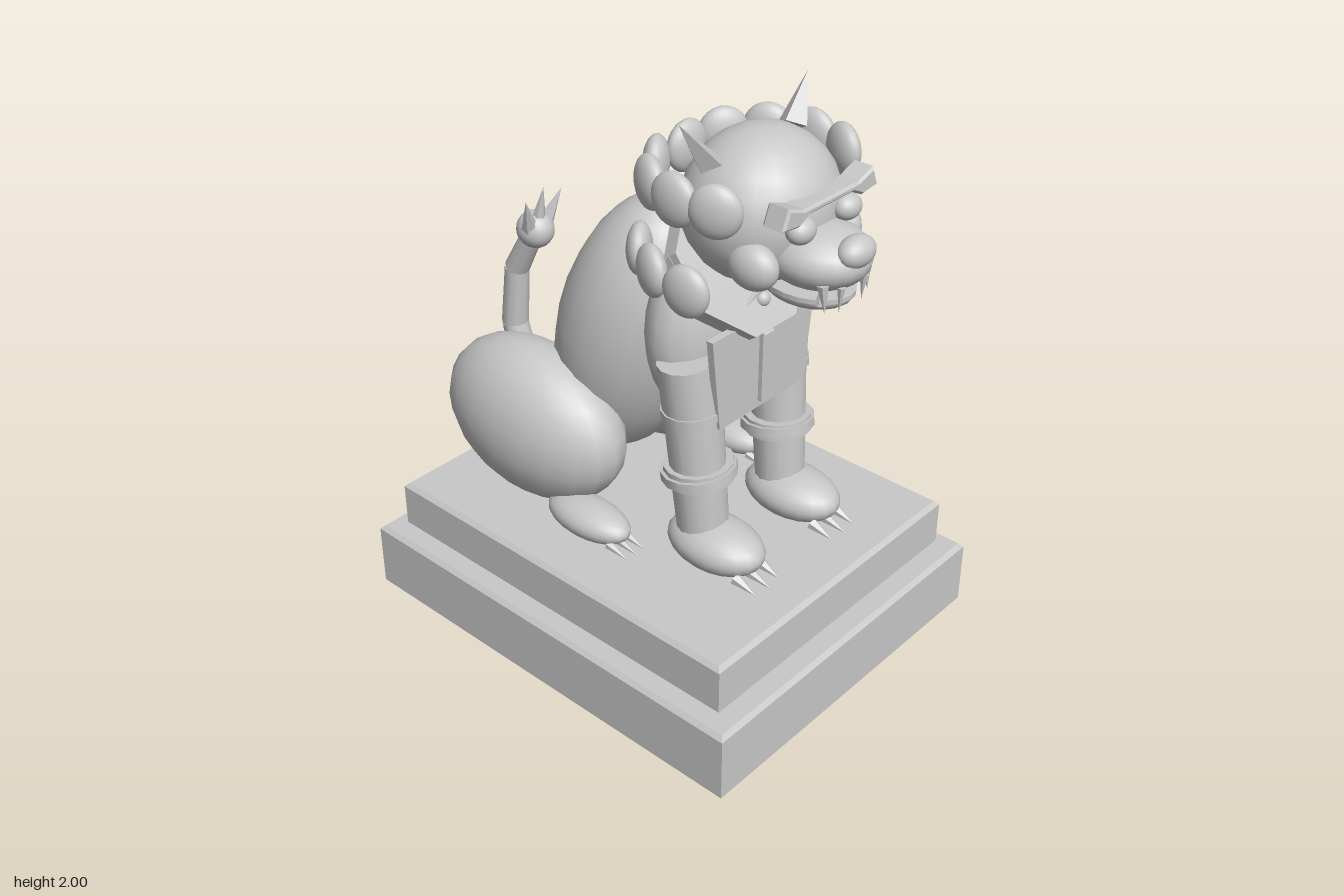
import * as THREE from 'three';

const stone = new THREE.MeshStandardMaterial({ color: 0xc8c8c8 });
stone.name = 'stone';

export function createModel() {
  const root = new THREE.Group();
  root.name = 'guardianBeastStatue';

  const add = (name, geometry, x = 0, y = 0, z = 0) => {
    const mesh = new THREE.Mesh(geometry, stone);
    mesh.name = name;
    mesh.position.set(x, y, z);
    root.add(mesh);
    return mesh;
  };
  // Ellipsoid from centre and radii, optionally pitched or turned
  const blob = (name, [x, y, z], [rx, ry, rz], pitch = 0, yaw = 0) => {
    const mesh = add(name, new THREE.SphereGeometry(1, 20, 14), x, y, z);
    mesh.scale.set(rx, ry, rz);
    mesh.rotation.set(pitch, yaw, 0);
    return mesh;
  };
  // Tapered cylinder between two points
  const rod = (name, from, to, r0, r1, sides = 14) => {
    const a = new THREE.Vector3(...from), b = new THREE.Vector3(...to);
    const dir = b.clone().sub(a);
    const geometry = r1 === 0
      ? new THREE.ConeGeometry(r0, dir.length(), sides).toNonIndexed()
      : new THREE.CylinderGeometry(r1, r0, dir.length(), sides);
    if (r1 === 0) geometry.computeVertexNormals();
    const mesh = add(name, geometry, ...a.add(b).multiplyScalar(0.5).toArray());
    mesh.quaternion.setFromUnitVectors(new THREE.Vector3(0, 1, 0), dir.normalize());
    return mesh;
  };
  // Flat outline extruded forward from z
  const plate = (name, points, z, depth, bevel = 0) => {
    const shape = new THREE.Shape(points.map(([x, y]) => new THREE.Vector2(x, y)));
    return add(name, new THREE.ExtrudeGeometry(shape, {
      depth, bevelEnabled: bevel > 0, bevelSize: bevel, bevelThickness: bevel,
      bevelOffset: -bevel, bevelSegments: 1,
    }), 0, 0, z);
  };

  // Stepped plinth with chamfered edges
  const slab = (name, w, d, y0, y1) => {
    const b = 0.015, x = w / 2, z = d / 2;
    const mesh = plate(name, [[-x, -z], [x, -z], [x, z], [-x, z]], 0, y1 - y0 - 2 * b, b);
    mesh.rotation.x = -Math.PI / 2;
    mesh.position.y = y0 + b;
  };
  slab('lowerPlinth', 1.32, 1.62, 0, 0.26);
  slab('upperPlinth', 1.18, 1.47, 0.26, 0.445);

  // Body
  blob('torso', [0, 1.08, -0.14], [0.285, 0.527, 0.268], 0.285);
  blob('chest', [0, 1.23, 0.2], [0.29, 0.34, 0.165]);

  // Breastplate with centre ridge
  plate('breastplate', [[-0.21, 0.98], [0.21, 0.98], [0.25, 1.31], [-0.25, 1.31]], 0.375, 0.025);
  plate('breastplateRidge', [[-0.025, 1.005], [0.025, 1.005], [0.025, 1.255], [-0.025, 1.255]], 0.395, 0.02, 0.005);

  // Tilted octagonal collar in two layers
  for (const [s, r] of [[-0.022, 0.25], [0.022, 0.26]]) {
    const disc = new THREE.CylinderGeometry(r, r, 0.032, 8, 1, false, Math.PI / 8).toNonIndexed();
    disc.computeVertexNormals();
    add('collar', disc, 0, 1.455 + 0.6 * s, 0.27 + 0.8 * s).rotation.x = Math.atan2(0.8, 0.6);
  }
  blob('collarBell', [0, 1.36, 0.385], [0.027, 0.027, 0.027]);
  plate('collarBellHood', [[-0.08, 1.365], [0, 1.388], [0.08, 1.365], [0, 1.405]], 0.35, 0.04);

  // Head, muzzle and jaw
  blob('head', [0, 1.685, 0.37], [0.26, 0.245, 0.24]);
  blob('muzzle', [0, 1.59, 0.59], [0.155, 0.1, 0.17]);
  blob('nose', [0, 1.638, 0.725], [0.072, 0.05, 0.05]);
  const jaw = add('lowerJaw', new THREE.SphereGeometry(1, 20, 8, 0, Math.PI * 2, Math.PI / 2, Math.PI / 2), 0, 1.48, 0.56);
  jaw.scale.set(0.12, 0.06, 0.155);
  const jawTop = add('mouthFloor', new THREE.CylinderGeometry(1, 1, 0.015, 20), 0, 1.482, 0.56);
  jawTop.scale.set(0.12, 1, 0.155);
  plate('brow', [
    [-0.2, 1.81], [-0.225, 1.745], [-0.15, 1.735], [-0.1, 1.76], [0.1, 1.76],
    [0.15, 1.735], [0.225, 1.745], [0.2, 1.81], [0.13, 1.785], [-0.13, 1.785],
  ].reverse(), 0.56, 0.065, 0.008);

  // Mirrored parts
  for (const s of [1, -1]) {
    blob('eye', [s * 0.11, 1.705, 0.605], [0.052, 0.042, 0.042]);
    blob('cheek', [s * 0.2, 1.59, 0.505], [0.058, 0.075, 0.088]);
    const horn = rod('horn', [s * 0.195, 1.86, 0.325], [s * 0.295, 2.0, 0.3], 0.055, 0, 4);
    horn.scale.x = 0.7;
    rod('upperFang', [s * 0.105, 1.555, 0.69], [s * 0.105, 1.465, 0.7], 0.02, 0, 6);
    rod('upperTooth', [s * 0.055, 1.54, 0.72], [s * 0.055, 1.455, 0.715], 0.014, 0, 6);
    rod('lowerFang', [s * 0.08, 1.47, 0.66], [s * 0.08, 1.545, 0.67], 0.015, 0, 6);

    // Foreleg with cuffs and paw
    rod('upperForeleg', [s * 0.21, 1.0, 0.293], [s * 0.232, 1.2, 0.277], 0.1, 0.095);
    rod('foreleg', [s * 0.2, 0.56, 0.33], [s * 0.212, 1.02, 0.29], 0.086, 0.098);
    rod('elbowBand', [s * 0.21, 1.005, 0.292], [s * 0.212, 1.032, 0.29], 0.106, 0.106);
    rod('ankleCuff', [s * 0.2, 0.775, 0.31], [s * 0.202, 0.808, 0.306], 0.127, 0.127);
    rod('ankleCuffBevel', [s * 0.2, 0.762, 0.31], [s * 0.202, 0.822, 0.306], 0.116, 0.116);
    blob('forepaw', [s * 0.2, 0.535, 0.385], [0.122, 0.085, 0.185]);

    // Haunch and hind paw
    blob('haunch', [s * 0.275, 0.738, -0.37], [0.21, 0.283, 0.383], 0.06);
    blob('hindPaw', [s * 0.36, 0.515, -0.04], [0.088, 0.063, 0.175]);

    for (const i of [-1, 0, 1]) {
      const x = s * 0.2 + i * 0.06, h = s * 0.36 + i * 0.04;
      rod('foreClaw', [x, 0.49, 0.52], [x, 0.462, 0.605 + (i ? 0 : 0.015)], 0.023, 0, 6);
      rod('hindClaw', [h, 0.487, 0.09], [h, 0.462, 0.175 + (i ? 0 : 0.012)], 0.018, 0, 6);
    }

    // Curls around the crown and neck, facing outward
    const curls = [
      [0.3, 1.78, 0.445], [0.325, 1.785, 0.31], [0.275, 1.78, 0.17], [0.155, 1.78, 0.085],
      [0.3, 1.485, 0.335], [0.275, 1.49, 0.175], [0.19, 1.49, 0.045],
    ];
    for (const [x, y, z] of curls) {
      blob('maneCurl', [s * x, y, z], [0.083, 0.086, 0.042], 0, Math.atan2(s * x, z - 0.31));
    }
  }
  blob('maneCurl', [0, 1.78, 0.07], [0.083, 0.086, 0.04]);

  // Jointed tail with a spiked tuft
  const tail = [[0, 0.6, -0.69], [0, 0.85, -0.76], [0, 1.08, -0.735], [0, 1.25, -0.64]];
  const radii = [0.055, 0.05, 0.045, 0.038];
  for (let i = 0; i < 3; i++) rod('tailSegment', tail[i], tail[i + 1], radii[i], radii[i + 1], 10);
  blob('tailTuft', [0, 1.265, -0.63], [0.065, 0.068, 0.07]);
  for (const i of [-1, 0, 1]) {
    rod('tailSpike', [i * 0.035, 1.28, -0.62], [i * 0.085, i ? 1.41 : 1.44, -0.58], 0.032, 0, 6);
  }

  return root;
}
